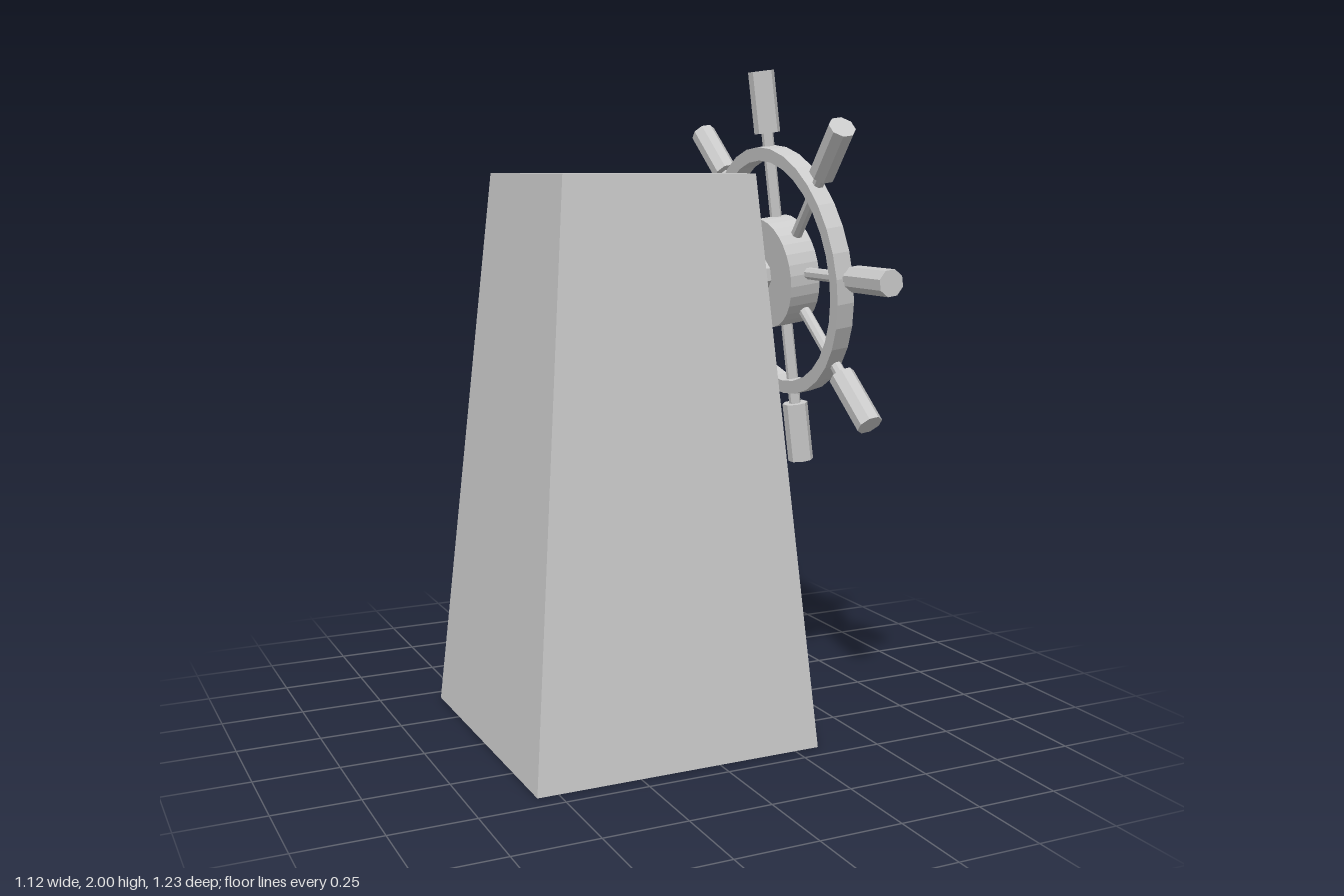
import * as THREE from 'three';

const material = new THREE.MeshStandardMaterial({ color: 0xcccccc, flatShading: true });

function part(name, geometry, parent) {
  const mesh = new THREE.Mesh(geometry, material);
  mesh.name = name;
  parent.add(mesh);
  return mesh;
}

// Octagonal rod along y with flats facing the axes; r is the distance to a flat
function rod(r, from, to) {
  const R = r / Math.cos(Math.PI / 8);
  return new THREE.CylinderGeometry(R, R, to - from, 8)
    .rotateY(Math.PI / 8)
    .translate(0, (from + to) / 2, 0);
}

export function createModel() {
  const model = new THREE.Group();
  model.name = 'helm';

  // Tapered square pedestal
  const pedestal = part('pedestal', new THREE.CylinderGeometry(
    0.297 * Math.SQRT2, 0.445 * Math.SQRT2, 1.69, 4).rotateY(Math.PI / 4), model);
  pedestal.position.set(-0.118, 0.845, 0);

  // Tilted wheel, its axle along local x
  const wheel = new THREE.Group();
  wheel.name = 'wheel';
  wheel.position.set(0.436, 1.389, 0);
  wheel.rotation.z = THREE.MathUtils.degToRad(7.5);
  model.add(wheel);

  part('axle', rod(0.047, -0.25, -0.04).rotateZ(-Math.PI / 2), wheel);

  const hub = part('hub', new THREE.CylinderGeometry(0.17, 0.17, 0.1, 32).rotateZ(-Math.PI / 2), wheel);
  hub.position.x = -0.015;

  // Rim with a rectangular section
  const inner = 0.347, outer = 0.388, half = 0.028;
  const section = [[inner, -half], [outer, -half], [outer, half], [inner, half], [inner, -half]]
    .map(([x, y]) => new THREE.Vector2(x, y));
  const rim = part('rim', new THREE.LatheGeometry(section, 32).rotateZ(-Math.PI / 2), wheel);
  rim.position.x = -0.01;

  // Eight spokes, each ending in a thicker handle
  const spokeGeometry = rod(0.017, 0.1, 0.45);
  const handleGeometry = rod(0.037, 0.427, 0.614);
  for (let i = 0; i < 8; i++) {
    const arm = new THREE.Group();
    arm.name = 'arm' + (i + 1);
    arm.rotation.x = i * Math.PI / 4;
    part('spoke', spokeGeometry, arm);
    part('handle', handleGeometry, arm);
    wheel.add(arm);
  }

  return model;
}
